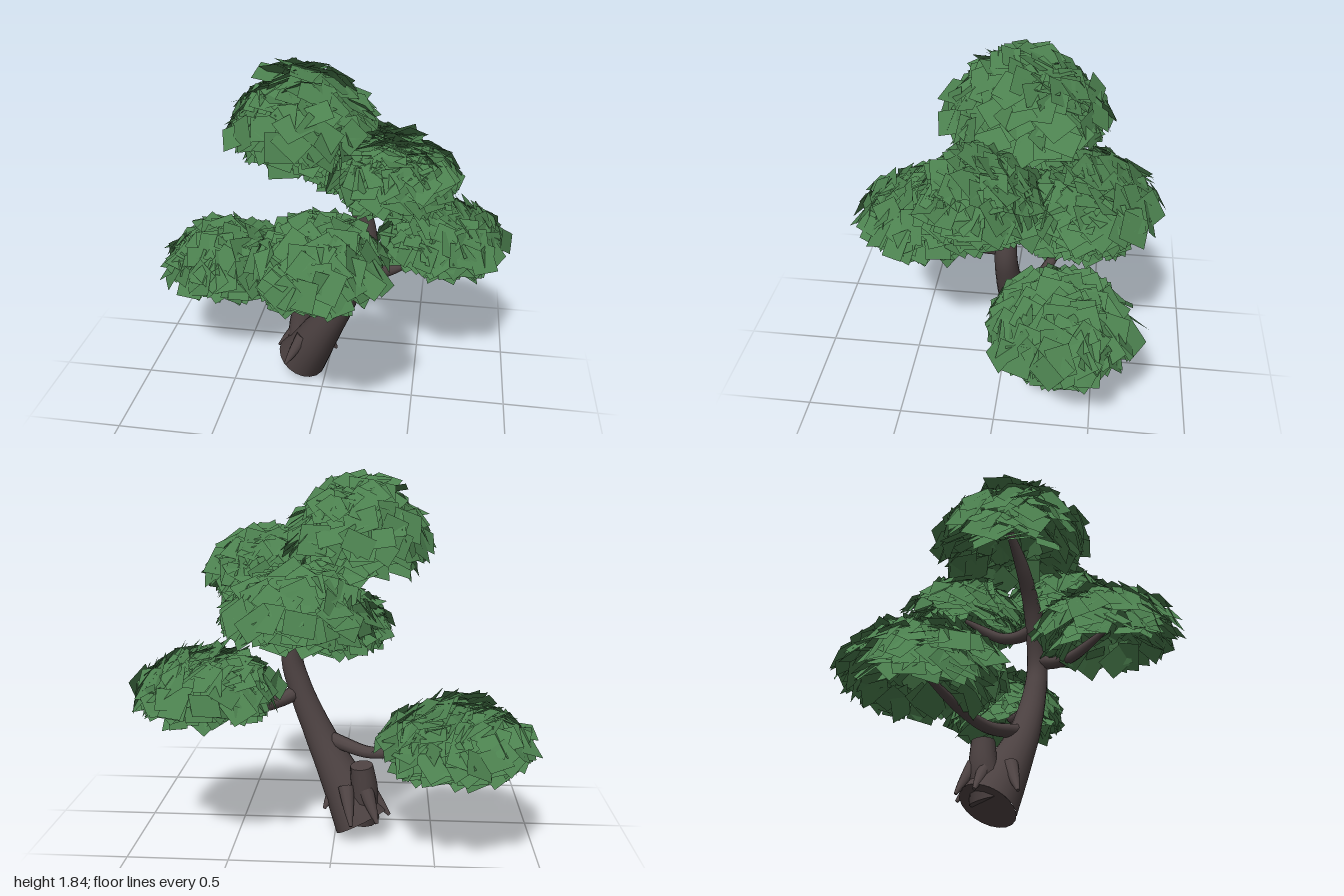
import * as THREE from 'three';
import { mergeGeometries } from 'three/addons/utils/BufferGeometryUtils.js';

const V = (a) => new THREE.Vector3(...a);

function makeRandom(seed) {
  let s = seed;
  return () => {
    s = (s * 1664525 + 1013904223) % 4294967296;
    return s / 4294967296;
  };
}

// Curved limb whose radius follows a list of radii; both ends are capped.
function limb(name, points, radii, material, sides = 14, segments = 28) {
  const group = new THREE.Group();
  group.name = name;
  const curve = new THREE.CatmullRomCurve3(points.map(V));
  const geo = new THREE.TubeGeometry(curve, segments, 1, sides, false);
  const pos = geo.attributes.position;
  const radiusAt = (t) => {
    const f = t * (radii.length - 1);
    const i = Math.min(Math.floor(f), radii.length - 2);
    return THREE.MathUtils.lerp(radii[i], radii[i + 1], f - i);
  };
  const p = new THREE.Vector3();
  for (let i = 0; i <= segments; i++) {
    const c = curve.getPointAt(i / segments);
    for (let j = 0; j <= sides; j++) {
      const k = i * (sides + 1) + j;
      p.fromBufferAttribute(pos, k).sub(c).multiplyScalar(radiusAt(i / segments)).add(c);
      pos.setXYZ(k, p.x, p.y, p.z);
    }
  }
  const bark = new THREE.Mesh(geo, material);
  bark.name = name + 'Bark';
  group.add(bark);
  for (const t of [0, 1]) {
    const cap = new THREE.Mesh(new THREE.CircleGeometry(radiusAt(t), sides), material);
    const c = curve.getPointAt(t);
    cap.position.copy(c);
    cap.lookAt(c.clone().addScaledVector(curve.getTangentAt(t), t ? 1 : -1));
    cap.name = name + 'End';
    group.add(cap);
  }
  return group;
}

// Lens-shaped pad of overlapping flat leaf cards; the crown cards lean one way.
function leafPad(name, center, radius, lean, material, seed, count = 260) {
  const random = makeRandom(seed);
  const cards = [];
  const forward = new THREE.Vector3(0, 0, 1);
  for (let i = 0; i < count; i++) {
    const h = -0.6 + 1.6 * ((i + random()) / count);
    const a = i * 2.39996 + random() * 0.5;
    const ring = Math.pow(1 - Math.abs(h), 0.5);
    const depth = 0.76 + 0.26 * Math.sqrt(random());
    const dir = new THREE.Vector3(Math.cos(a) * ring, h, Math.sin(a) * ring);
    const p = dir.clone().multiply(V(radius)).multiplyScalar(depth).add(V(center));
    const n = new THREE.Vector3(dir.x, Math.max(h, 0) * 0.8 + 0.6, dir.z).normalize();
    n.addScaledVector(V(lean), Math.max(h, 0));
    n.x += (random() - 0.5) * 0.9;
    n.y += (random() - 0.5) * 0.6;
    n.z += (random() - 0.5) * 0.9;
    n.normalize();
    const q = new THREE.Quaternion().setFromUnitVectors(forward, n);
    q.multiply(new THREE.Quaternion().setFromAxisAngle(forward, random() * Math.PI * 2));
    const size = new THREE.Vector3(0.1 + random() * 0.06, 0.1 + random() * 0.06, 1);
    cards.push(new THREE.PlaneGeometry(1, 1).applyMatrix4(new THREE.Matrix4().compose(p, q, size)));
  }
  const mesh = new THREE.Mesh(mergeGeometries(cards), material);
  mesh.name = name;
  return mesh;
}

export function createModel() {
  const tree = new THREE.Group();
  tree.name = 'tree';
  const bark = new THREE.MeshStandardMaterial({ color: 0x4e4343 });
  bark.name = 'bark';
  const leaf = new THREE.MeshStandardMaterial({ color: 0x4c814f, side: THREE.DoubleSide });
  leaf.name = 'leaf';

  // Leaning trunk, flared at the foot
  tree.add(limb('trunk',
    [[-0.14, 0.075, -0.18], [-0.045, 0.25, -0.125], [0.085, 0.5, -0.065], [0.19, 0.75, -0.04],
      [0.228, 0.92, -0.035], [0.15, 1.2, -0.04], [0.02, 1.4, -0.06], [-0.1, 1.57, -0.1]],
    [0.145, 0.115, 0.09, 0.073, 0.062, 0.055, 0.05, 0.044, 0.036, 0.02], bark, 20, 48));

  // Cut stump beside the trunk
  tree.add(limb('stump',
    [[-0.13, 0.1, -0.17], [-0.15, 0.25, -0.2], [-0.137, 0.39, -0.21]],
    [0.1, 0.072, 0.058], bark));

  // Branches
  const branches = {
    lowBranch: [[0.09, 0.5, -0.06], [-0.02, 0.475, -0.11], [-0.17, 0.45, -0.18], [-0.35, 0.49, -0.26], [-0.62, 0.58, -0.35]],
    leftBranch: [[0.19, 0.73, -0.04], [0.28, 0.695, -0.11], [0.38, 0.69, -0.2], [0.62, 0.82, -0.32]],
    frontBranch: [[0.22, 0.94, -0.03], [0.2, 0.92, 0.08], [0.13, 0.91, 0.18], [0.04, 1.0, 0.38]],
    backBranch: [[0.19, 1.12, -0.04], [0.19, 1.085, -0.14], [0.17, 1.08, -0.22], [0.15, 1.2, -0.42]],
    upperBranch: [[0.15, 1.2, -0.04], [0.24, 1.22, 0], [0.36, 1.34, 0.07]],
  };
  for (const [name, points] of Object.entries(branches)) {
    tree.add(limb(name, points, [0.042, 0.032, 0.026, 0.012], bark, 10, 20));
  }

  // Pointed surface roots: upper end, lower tip
  const roots = [
    [[-0.16, 0.27, -0.18], [-0.28, 0.12, -0.2]],
    [[-0.12, 0.27, -0.08], [-0.21, 0.12, -0.015]],
    [[-0.01, 0.26, -0.14], [0.055, 0.14, -0.19]],
    [[-0.06, 0.28, -0.23], [-0.09, 0.12, -0.35]],
    [[-0.16, 0.27, -0.24], [-0.22, 0.12, -0.31]],
  ];
  roots.forEach(([top, tip], i) => {
    const mid = V(top).lerp(V(tip), 0.5).toArray();
    tree.add(limb('root' + (i + 1), [top, mid, tip], [0.04, 0.032, 0.022, 0.008], bark, 10, 8));
  });

  // Foliage pads: centre, radii, lean of the crown cards
  const pads = {
    lowPad: [[-0.59, 0.6, -0.35], [0.36, 0.18, 0.36], [0.35, 0, 0.3]],
    leftPad: [[0.61, 0.835, -0.33], [0.34, 0.17, 0.33], [0.6, 0, 0]],
    frontPad: [[0.04, 1.01, 0.38], [0.31, 0.18, 0.35], [0.2, 0, 0.6]],
    backPad: [[0.15, 1.23, -0.43], [0.34, 0.17, 0.31], [0, 0, -0.6]],
    upperPad: [[0.36, 1.34, 0.07], [0.29, 0.19, 0.27], [0, 0, -0.35]],
    topPad: [[-0.11, 1.54, -0.09], [0.35, 0.26, 0.4], [0, 0, -0.3]],
  };
  Object.entries(pads).forEach(([name, [center, radius, lean]], i) => {
    tree.add(leafPad(name, center, radius, lean, leaf, 17 + i * 101));
  });
  return tree;
}
